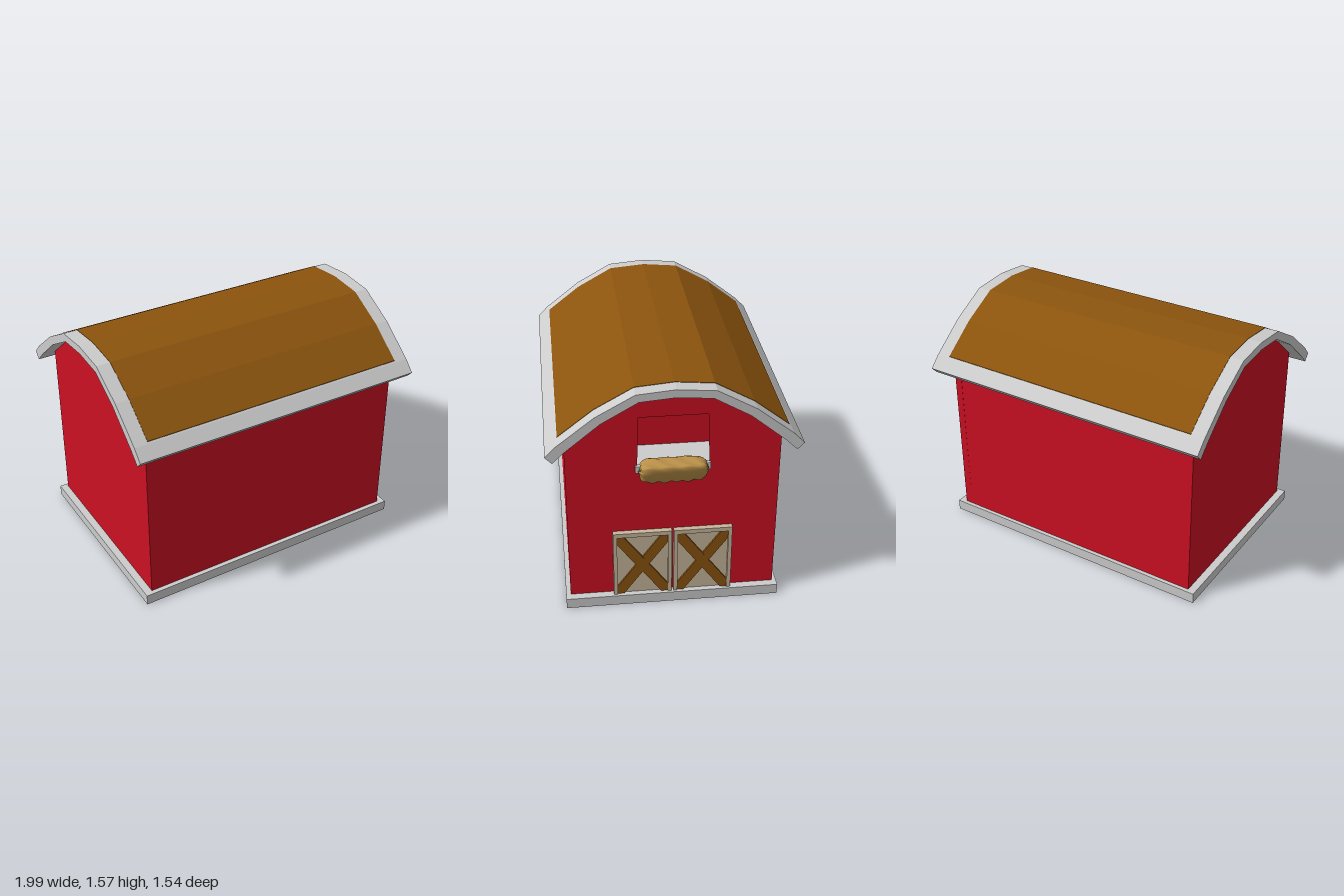
import * as THREE from 'three';

const mat = (name, color, side = THREE.FrontSide) => {
  const m = new THREE.MeshStandardMaterial({ color, side });
  m.name = name;
  return m;
};

export function createModel() {
  const red = mat('barn red', 0xcc1022);
  const grey = mat('trim grey', 0xcccccc);
  const brown = mat('timber brown', 0x8c540d);
  const beige = mat('door beige', 0xc9b79c);
  const straw = mat('hay straw', 0xba9049);
  const barn = new THREE.Group();
  barn.name = 'barn';

  const add = (name, geometry, material, parent = barn) => {
    const mesh = new THREE.Mesh(geometry, material);
    mesh.name = name;
    parent.add(mesh);
    return mesh;
  };
  // Box given by its limits on each axis
  const box = (name, m, x0, x1, y0, y1, z0, z1, parent) =>
    add(name, new THREE.BoxGeometry(x1 - x0, y1 - y0, z1 - z0), m, parent)
      .position.set((x0 + x1) / 2, (y0 + y1) / 2, (z0 + z1) / 2);
  // Outline of [z, y] points, drawn out along x
  const toPoints = (pts) => pts.map(([z, y]) => new THREE.Vector2(-z, y));
  const slab = (name, m, pts, x0, x1, hole, parent) => {
    const shape = new THREE.Shape(toPoints(pts));
    if (hole) shape.holes.push(new THREE.Path(toPoints(hole)));
    const g = new THREE.ExtrudeGeometry(shape, { depth: x1 - x0, bevelEnabled: false });
    g.rotateY(Math.PI / 2).translate(x0, 0, 0);
    return add(name, g, m, parent);
  };
  // Half profile from eave to ridge, completed by mirroring
  const mirror = (half) => [...half, ...half.slice(0, -1).reverse().map(([z, y]) => [-z, y])];
  const shift = (pts, dy) => pts.map(([z, y]) => [z, y + dy]);

  // Base
  box('base', grey, -0.96, 0.95, 0, 0.07, -0.673, 0.685);

  // Roof shell with a brown covering outside and a brown ceiling inside
  const outer = mirror([[0.768, 1.162], [0.70, 1.232], [0.473, 1.41], [0.236, 1.543], [0, 1.564]]);
  const inner = mirror([[0.726, 1.118], [0.652, 1.19], [0.44, 1.365], [0.217, 1.494], [0, 1.512]]);
  slab('roof', grey, [...outer, ...inner.slice().reverse()], -1, 0.992);
  const cover = outer.slice(1, -1);
  cover[0] = [0.69, 1.24];
  cover[cover.length - 1] = [-0.69, 1.24];
  slab('roofCovering', brown, [...shift(cover, 0.003), ...shift(cover, -0.004).reverse()], -0.91, 0.90);
  const ceiling = inner.slice(1, -1);
  slab('ceiling', brown, [...ceiling, ...shift(ceiling, -0.006).reverse()], -0.86, 0.85);

  // Walls, with the loft opening in one gable
  const gable = [[0.655, 0.07], ...ceiling.map(([z, y]) => [z + 0.003, y]), [-0.647, 0.07]];
  const loft = [[0.222, 1.0], [0.215, 1.342], [-0.203, 1.342], [-0.215, 1.0]];
  slab('loftGable', red, gable, 0.85, 0.90, loft);
  slab('plainGable', red, gable, -0.91, -0.86);
  box('leftWall', red, -0.86, 0.85, 0.07, 1.19, 0.605, 0.655);
  box('rightWall', red, -0.86, 0.85, 0.07, 1.19, -0.647, -0.597);

  // Loft ledge
  box('loftLedge', grey, 0.89, 0.92, 0.97, 1.015, -0.222, 0.235);

  // Hay draped over the ledge: one lumpy section swept along z
  const section = new THREE.CatmullRomCurve3([
    [0.85, 1.025], [0.90, 1.05], [0.945, 1.038], [0.985, 1.04], [0.985, 1.0],
    [0.958, 0.94], [0.932, 0.903], [0.915, 0.93], [0.905, 0.985], [0.86, 0.995],
  ].map(([x, y]) => new THREE.Vector3(x, y, 0)), true).getPoints(28).slice(0, -1);
  const rings = 32, n = section.length, pos = [], idx = [];
  for (let i = 0; i <= rings; i++) {
    const t = (i / rings) * 2 - 1;
    const s = Math.max(0.001, Math.pow(1 - Math.pow(Math.abs(t), 8), 0.5));
    section.forEach((p, j) => {
      const drop = Math.max(0, 1.0 - p.y) / 0.1;
      const lump = 0.009 * Math.sin(i * 1.15 + 0.6) * drop + 0.003 * Math.sin(i * 0.7 + j);
      pos.push(0.93 + (p.x - 0.93) * s + lump * 0.5,
        0.985 + (p.y - 0.985) * s + lump * s,
        0.005 + 0.21 * t + 0.004 * Math.sin(j * 1.7));
      if (i < rings) {
        const a = i * n + j, b = i * n + (j + 1) % n;
        idx.push(a, a + n, b, b, a + n, b + n);
      }
    });
  }
  const hay = new THREE.BufferGeometry();
  hay.setAttribute('position', new THREE.Float32BufferAttribute(pos, 3));
  hay.setIndex(idx);
  hay.computeVertexNormals();
  add('hay', hay, straw);

  // Pair of doors: recessed panel, raised frame and crossed braces
  for (const [name, z0, z1] of [['leftDoor', 0.012, 0.38], ['rightDoor', -0.367, 0]]) {
    const door = new THREE.Group();
    door.name = name;
    barn.add(door);
    const a = z0 + 0.024, b = z1 - 0.024, lo = 0.07, hi = 0.51, w = 0.042, h = 0.056;
    box('panel', beige, 0.90, 0.915, lo, hi, a, b, door);
    box('frameSide', beige, 0.90, 0.935, lo, 0.54, z0, a, door);
    box('frameSide', beige, 0.90, 0.935, lo, 0.54, b, z1, door);
    box('frameTop', beige, 0.90, 0.935, hi, 0.54, a, b, door);
    const brace = (p, q, d, x) => slab('brace', brown,
      [[p, lo], [p + d * w, lo], [q, hi - h], [q, hi], [q - d * w, hi], [p, lo + h]],
      0.91, x, null, door);
    brace(a, b, 1, 0.928);
    brace(b, a, -1, 0.927);
  }
  return barn;
}
